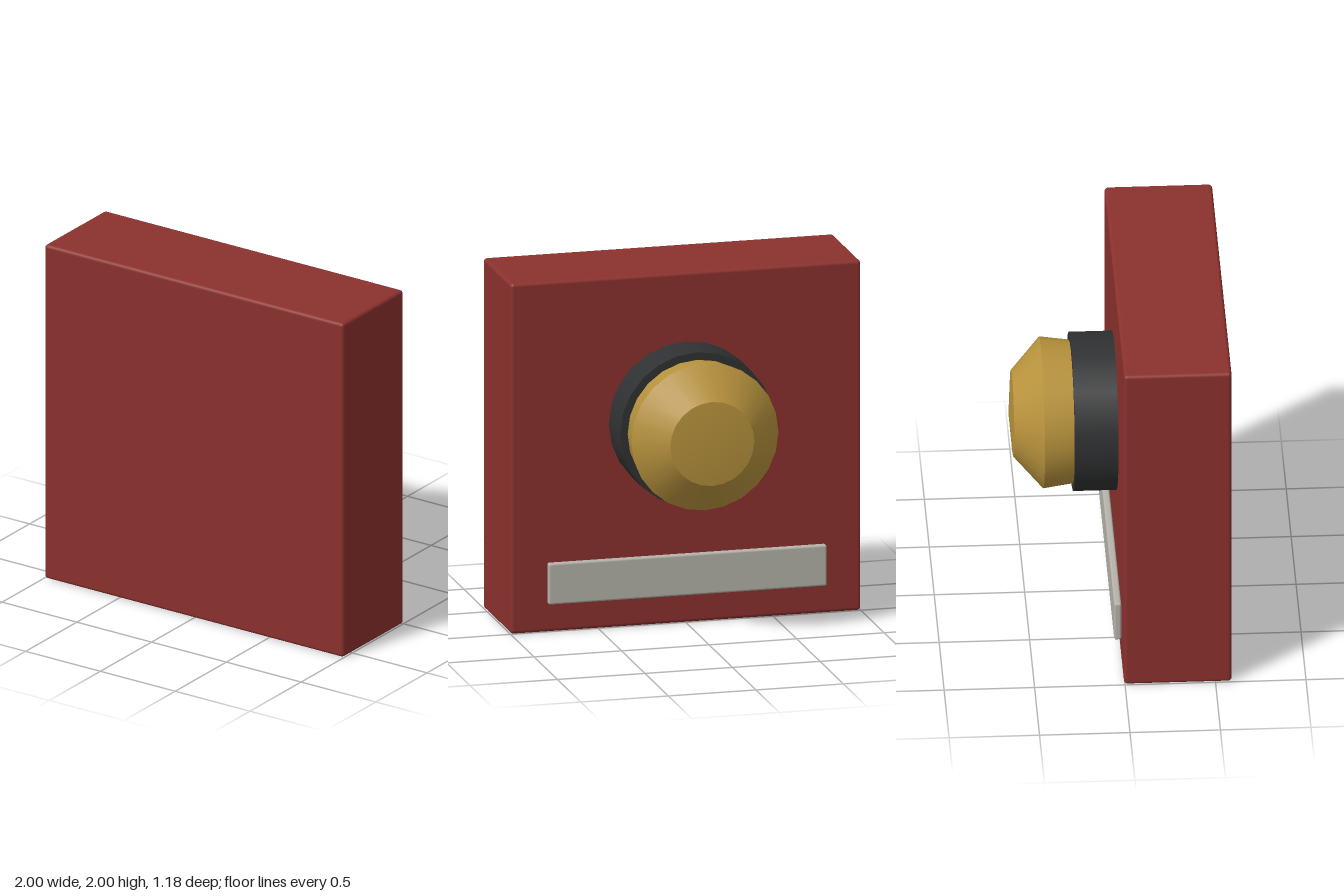
import * as THREE from 'three';
import { toCreasedNormals } from 'three/addons/utils/BufferGeometryUtils.js';
import { RoundedBoxGeometry } from 'three/addons/geometries/RoundedBoxGeometry.js';

const SIDES = 24;
const BUTTON_Y = 1.165;
const BACK_Z = -0.005; // plane of the panel that carries the button

function addPart(group, name, geometry, color, x, y, z) {
  const mesh = new THREE.Mesh(geometry, new THREE.MeshStandardMaterial({ color }));
  mesh.name = name;
  mesh.position.set(x, y, z);
  group.add(mesh);
  return mesh;
}

export function createModel() {
  const group = new THREE.Group();
  group.name = 'pushButtonBox';

  // Housing: thick square slab with slightly softened edges
  addPart(group, 'housing', new RoundedBoxGeometry(2, 2, 0.595, 3, 0.02), 0x8b312e, 0, 1, 0.2925);

  // Collar: short dark cylinder standing on the panel
  const collar = new THREE.CylinderGeometry(0.44, 0.44, 0.25, SIDES);
  collar.rotateX(-Math.PI / 2);
  addPart(group, 'collar', collar, 0x303132, 0, BUTTON_Y, BACK_Z - 0.115);

  // Button: faceted dome, profile given as radius and height above the panel
  const profile = [
    [0, 0.2], [0.39, 0.2], [0.397, 0.24], [0.42, 0.405], [0.24, 0.565], [0, 0.585],
  ].map(([r, h]) => new THREE.Vector2(r, h));
  const dome = new THREE.LatheGeometry(profile, SIDES);
  dome.rotateX(-Math.PI / 2);
  addPart(group, 'button', toCreasedNormals(dome, 0.4), 0xb8933d, 0, BUTTON_Y, BACK_Z);

  // Label plate: thin rounded strip below the button
  addPart(group, 'labelPlate', new RoundedBoxGeometry(1.59, 0.235, 0.04, 3, 0.012), 0xb5b3aa, 0, 0.2825, -0.029);

  return group;
}
